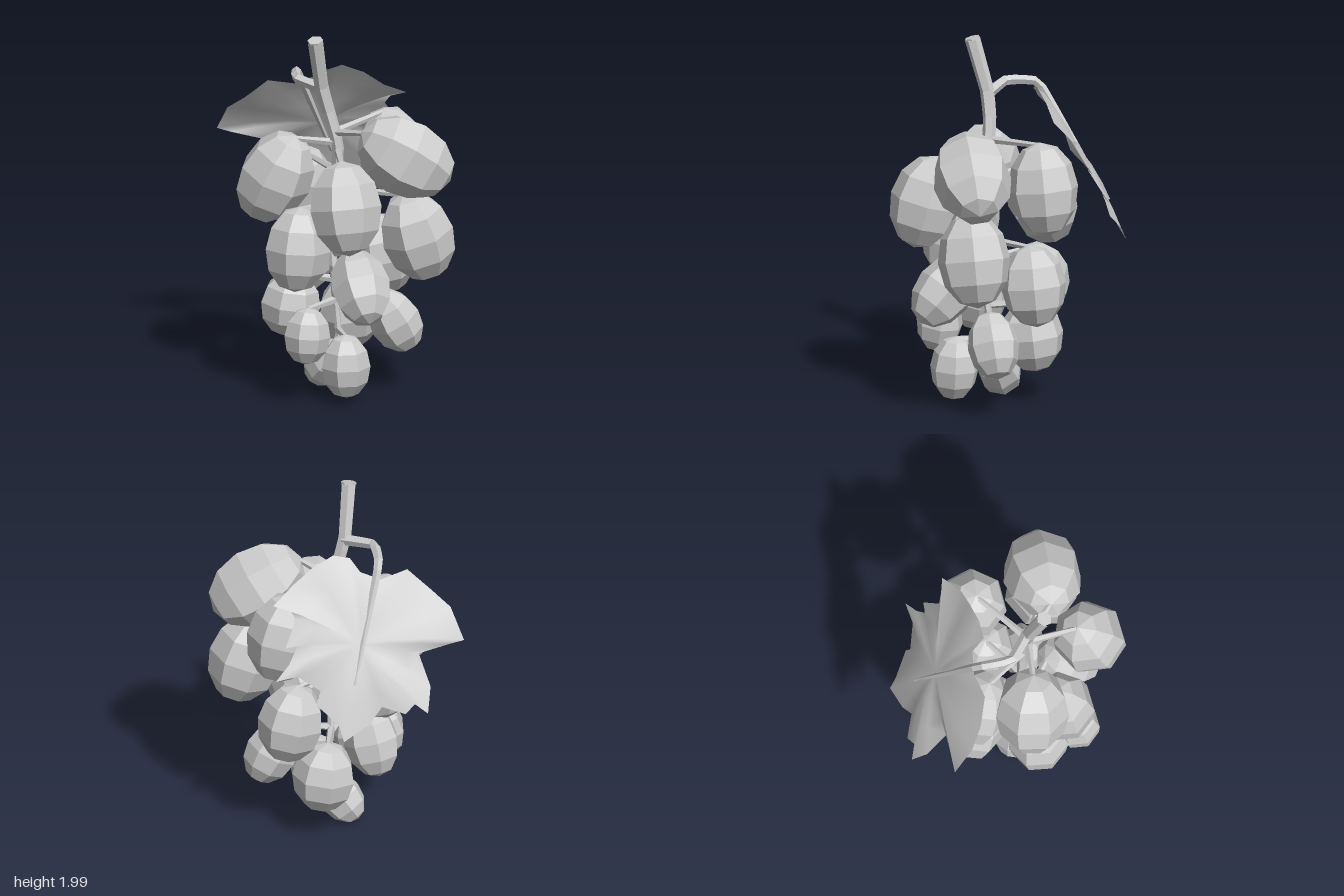
import * as THREE from 'three';

const V = (x, y, z) => new THREE.Vector3(x, y, z);
const UP = V(0, 1, 0);
const material = new THREE.MeshStandardMaterial({ color: 0xcccccc, flatShading: true });
const leafMaterial = new THREE.MeshStandardMaterial({ color: 0xcccccc, side: THREE.DoubleSide });

function add(parent, name, geometry, mat = material) {
  const mesh = new THREE.Mesh(geometry, mat);
  mesh.name = name;
  parent.add(mesh);
  return mesh;
}

// Tapered straight rod between two points
function rod(parent, name, a, b, ra, rb, sides = 5) {
  const dir = b.clone().sub(a);
  const mesh = add(parent, name, new THREE.CylinderGeometry(rb, ra, dir.length(), sides));
  mesh.position.copy(a).add(b).multiplyScalar(0.5);
  mesh.quaternion.setFromUnitVectors(UP, dir.normalize());
}

// Tube with tight bends whose radius shrinks from ra to rb
function taperedTube(parent, name, points, ra, rb, steps, sides) {
  const curve = new THREE.CatmullRomCurve3(points, false, 'catmullrom', 0.1);
  const geo = new THREE.TubeGeometry(curve, steps, 1, sides);
  const pos = geo.attributes.position;
  for (let i = 0; i < pos.count; i++) {
    const t = Math.floor(i / (sides + 1)) / steps;
    const c = curve.getPointAt(t);
    const p = V().fromBufferAttribute(pos, i).sub(c);
    p.multiplyScalar(THREE.MathUtils.lerp(ra, rb, t)).add(c);
    pos.setXYZ(i, p.x, p.y, p.z);
  }
  add(parent, name, geo);
}

// Main stem, top to bottom
const STEM = [
  V(-0.155, 1.985, 0.155), V(-0.1, 1.7, 0.095), V(-0.06, 1.55, 0.1), V(-0.02, 1.38, 0.13),
  V(-0.02, 1.15, 0.1), V(-0.05, 0.95, 0.08), V(-0.06, 0.75, 0.17), V(-0.03, 0.5, 0.12),
  V(-0.02, 0.3, 0.15),
];

// Point on the main stem at a given height
function stemAt(y) {
  const h = THREE.MathUtils.clamp(y, 0.32, 1.45);
  const i = STEM.findIndex((p) => p.y <= h);
  const a = STEM[i - 1], b = STEM[i];
  return a.clone().lerp(b, (a.y - h) / (a.y - b.y));
}

// Each grape: centre, direction of its hanging end, radius, half length
const GRAPES = [
  [[-0.325, 1.19, -0.01], [-0.4, -1, -0.25], 0.2, 0.265],
  [[-0.09, 1.14, 0.465], [0, -1, 0.3], 0.195, 0.255],
  [[0.275, 1.365, 0.38], [0.8, -0.5, 0.25], 0.213, 0.275],
  [[0.335, 0.925, 0.4], [0.3, -1, 0.05], 0.197, 0.255],
  [[0.335, 1.26, -0.015], [0.2, -1, 0], 0.19, 0.252],
  [[-0.115, 1.035, -0.24], [-0.05, -1, -0.4], 0.19, 0.25],
  [[-0.27, 0.845, 0.2], [-0.1, -1, 0.1], 0.178, 0.232],
  [[0.015, 0.665, 0.405], [0, -0.8, 0.8], 0.16, 0.218],
  [[0.27, 0.705, 0.01], [0.2, -1, 0], 0.178, 0.222],
  [[-0.09, 0.62, -0.225], [-0.05, -1, -0.4], 0.15, 0.2],
  [[0.26, 0.405, 0.245], [0.55, -1, 0.1], 0.14, 0.185],
  [[0.11, 0.37, -0.065], [0.15, -1, -0.05], 0.171, 0.195],
  [[-0.04, 0.205, 0.32], [0, -1, 0.05], 0.133, 0.175],
  [[-0.05, 0.14, 0.045], [-0.5, -0.85, -0.55], 0.118, 0.15],
  [[-0.25, 0.39, 0.3], [-0.1, -1, 0.1], 0.126, 0.155],
  [[-0.265, 0.495, 0.06], [-0.15, -1, 0], 0.163, 0.178],
];

// Leaf edge, going round
const LEAF_EDGE = [
  [-0.47, 1.3, -0.555], [-0.4, 1.28, -0.525], [-0.24, 1.24, -0.475], [-0.245, 1.1, -0.6],
  [-0.195, 0.98, -0.665], [-0.14, 1.03, -0.62], [-0.08, 0.99, -0.63], [0.02, 1.02, -0.55],
  [0.1, 0.94, -0.56], [0.25, 0.87, -0.555], [0.26, 0.95, -0.515], [0.34, 1.05, -0.41],
  [0.31, 1.12, -0.4], [0.41, 1.2, -0.33], [0.53, 1.19, -0.31], [0.44, 1.26, -0.29],
  [0.375, 1.34, -0.26], [0.44, 1.34, -0.25], [0.35, 1.47, -0.2], [0.375, 1.52, -0.17],
  [0.45, 1.54, -0.13], [0.31, 1.61, -0.09], [0.2, 1.69, -0.1], [0.08, 1.74, -0.11],
  [-0.01, 1.71, -0.13], [-0.03, 1.66, -0.21], [-0.13, 1.61, -0.255], [-0.28, 1.64, -0.27],
  [-0.38, 1.53, -0.35], [-0.45, 1.45, -0.44],
].map((p) => V(...p));

function leafGeometry() {
  const centre = V(0.07, 1.33, -0.38);
  const n = LEAF_EDGE.length;
  const pos = centre.toArray();
  const index = [];
  [0.35, 0.7, 1].forEach((t, r) => {
    LEAF_EDGE.forEach((p, i) => {
      // Blend towards the neighbours so the inner rings are less jagged
      const smooth = LEAF_EDGE[(i + 1) % n].clone().add(LEAF_EDGE[(i + n - 1) % n]).multiplyScalar(0.5);
      const q = p.clone().lerp(smooth, (1 - t) * 0.7);
      const s = centre.clone().lerp(q, t);
      const bulge = 0.05 * t * (1 - t);
      pos.push(s.x, s.y + bulge, s.z - bulge);
      const j = (i + 1) % n, a = 1 + r * n;
      if (r === 0) index.push(0, a + j, a + i);
      else index.push(a - n + i, a - n + j, a + i, a - n + j, a + j, a + i);
    });
  });
  const geo = new THREE.BufferGeometry();
  geo.setAttribute('position', new THREE.Float32BufferAttribute(pos, 3));
  geo.setIndex(index);
  geo.computeVertexNormals();
  return geo;
}

export function createModel() {
  const model = new THREE.Group();
  model.name = 'grapeBunch';

  // Stem with a flat cut end
  taperedTube(model, 'mainStem', STEM, 0.042, 0.018, 24, 6);
  rod(model, 'stemCut', V(-0.154, 1.98, 0.154), V(-0.156, 1.99, 0.156), 0.042, 0.042, 6);

  // Grapes, each on its own stalk
  const bunch = new THREE.Group();
  bunch.name = 'grapes';
  model.add(bunch);
  for (const [c, d, radius, half] of GRAPES) {
    const centre = V(...c), down = V(...d).normalize();
    const grape = add(bunch, 'grape', new THREE.SphereGeometry(1, 7, 6));
    grape.scale.set(radius, half, radius);
    grape.position.copy(centre);
    grape.quaternion.setFromUnitVectors(UP, down.clone().negate());
    const tip = centre.clone().addScaledVector(down, -half * 0.93);
    rod(bunch, 'grapeStalk', stemAt(tip.y - 0.02), tip, 0.022, 0.014);
  }

  // Leaf stalk that runs straight into the midrib
  const stalk = [
    V(-0.09, 1.69, 0.09), V(-0.19, 1.71, -0.06), V(-0.13, 1.69, -0.23), V(0.14, 1.14, -0.465),
  ];
  taperedTube(model, 'leafStalk', stalk, 0.032, 0.009, 18, 5);
  add(model, 'leaf', leafGeometry(), leafMaterial);
  return model;
}
